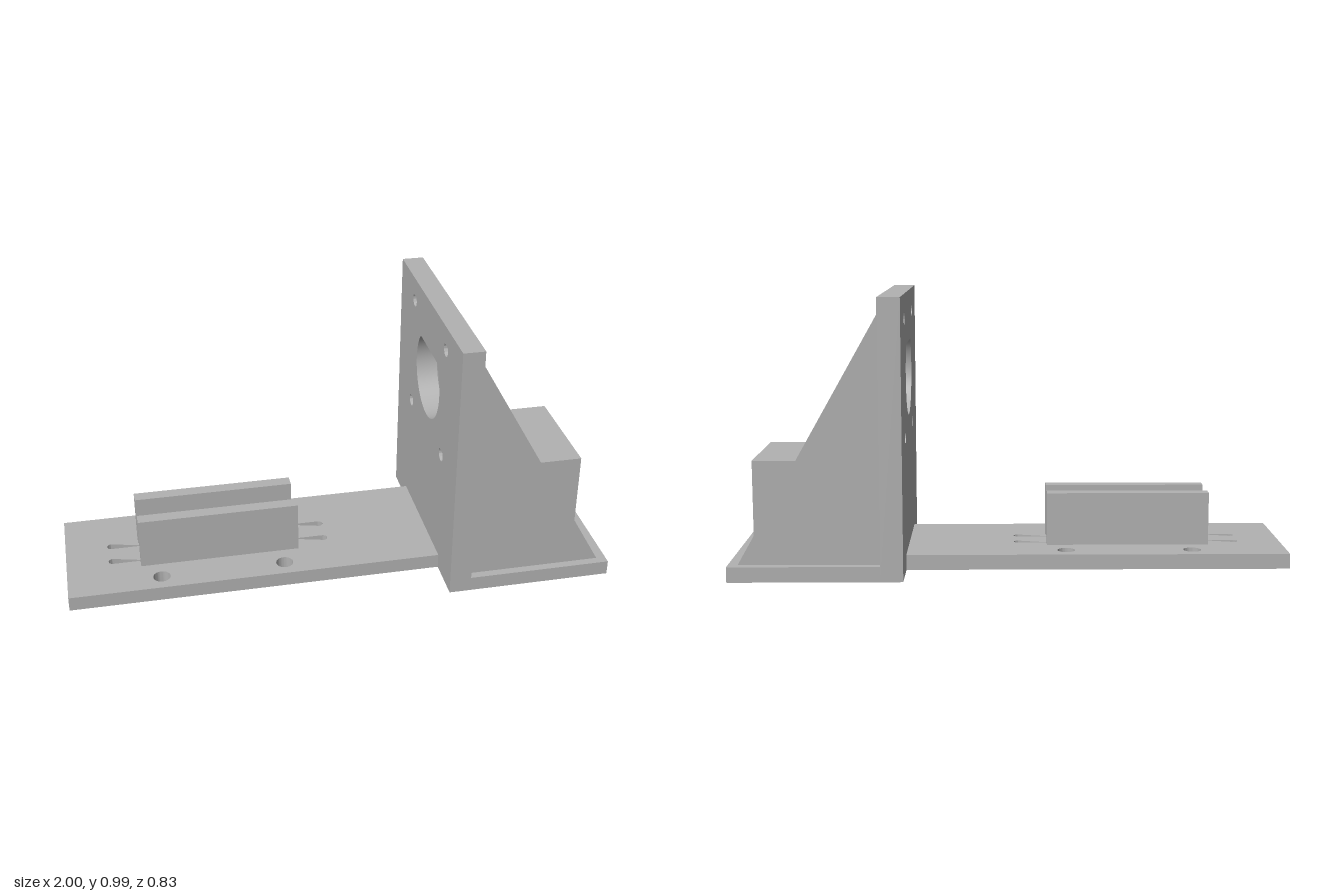
import * as THREE from 'three';
import { toCreasedNormals } from 'three/addons/utils/BufferGeometryUtils.js';

const BASE = 0.055; // base plate thickness
const WALL_X0 = 0.385, WALL_X1 = 0.465;

function rect(x0, y0, x1, y1) {
  return new THREE.Shape([
    new THREE.Vector2(x0, y0), new THREE.Vector2(x1, y0),
    new THREE.Vector2(x1, y1), new THREE.Vector2(x0, y1)]);
}

// Circle topped by a 45 degree point
function teardrop(x, y, r) {
  const p = new THREE.Path();
  p.moveTo(x, y + r * Math.SQRT2);
  p.absarc(x, y, r, Math.PI * 0.75, Math.PI * 2.25, false);
  p.closePath();
  return p;
}

function roundHole(x, y, r) {
  return new THREE.Path().absarc(x, y, r, 0, Math.PI * 2, false);
}

// Slot with a round end at xRound and a square end at xSquare
function slot(xRound, xSquare, y, r) {
  const p = new THREE.Path();
  const s = Math.sign(xSquare - xRound);
  p.moveTo(xSquare, y + s * r);
  p.absarc(xRound + s * r, y, r, s * Math.PI / 2, s * Math.PI / 2 + Math.PI, false);
  p.lineTo(xSquare, y - s * r);
  p.closePath();
  return p;
}

function extrude(shape, depth) {
  const g = new THREE.ExtrudeGeometry(shape, { depth, bevelEnabled: false, curveSegments: 24 });
  return toCreasedNormals(g, 0.6);
}

export function createModel() {
  const model = new THREE.Group();
  model.name = 'mountingBracket';
  const grey = new THREE.MeshStandardMaterial({ color: 0xb2b2b2 });
  grey.name = 'grey';

  const add = (name, geometry) => {
    const mesh = new THREE.Mesh(geometry, grey);
    mesh.name = name;
    model.add(mesh);
  };
  const box = (name, x0, x1, y0, y1, z0, z1) => {
    const g = new THREE.BoxGeometry(x1 - x0, y1 - y0, z1 - z0);
    add(name, g.translate((x0 + x1) / 2, (y0 + y1) / 2, (z0 + z1) / 2));
  };

  // Long narrow base with screw holes and strap slots
  const arm = rect(-1, -0.248, WALL_X0, 0.248);
  for (const s of [-1, 1]) {
    for (const x of [-0.655, -0.194]) arm.holes.push(roundHole(x, s * 0.18, 0.032));
    arm.holes.push(slot(-0.843, -0.702, s * 0.049, 0.016));
    arm.holes.push(slot(-0.005, -0.146, s * 0.049, 0.016));
  }
  add('armPlate', extrude(arm, BASE).rotateX(-Math.PI / 2));

  // Wide base behind the wall, with the solid block on it
  box('footPlate', WALL_X1, 1, 0, BASE, -0.413, 0.413);
  box('block', 0.525, 0.938, BASE, 0.393, -0.207, 0.207);

  // Upright wall with one large and four small teardrop holes
  const wall = rect(-0.413, 0, 0.413, 0.99);
  wall.holes.push(teardrop(0, 0.692, 0.16));
  for (const x of [-0.214, 0.214])
    for (const y of [0.906, 0.479]) wall.holes.push(teardrop(x, y, 0.025));
  add('wall', extrude(wall, WALL_X1 - WALL_X0).rotateY(Math.PI / 2).translate(WALL_X0, 0, 0));

  // Triangular gussets and guide rails, mirrored
  const gusset = new THREE.Shape([
    new THREE.Vector2(WALL_X1, BASE), new THREE.Vector2(0.965, BASE),
    new THREE.Vector2(WALL_X1, 0.935)]);
  for (const [side, s] of [['left', 1], ['right', -1]]) {
    add(side + 'Gusset', extrude(gusset, 0.07).translate(0, 0, s * 0.348 - 0.035));
    box(side + 'Rail', -0.725, -0.127, BASE, 0.25, s * 0.0775 - 0.0235, s * 0.0775 + 0.0235);
  }
  return model;
}
